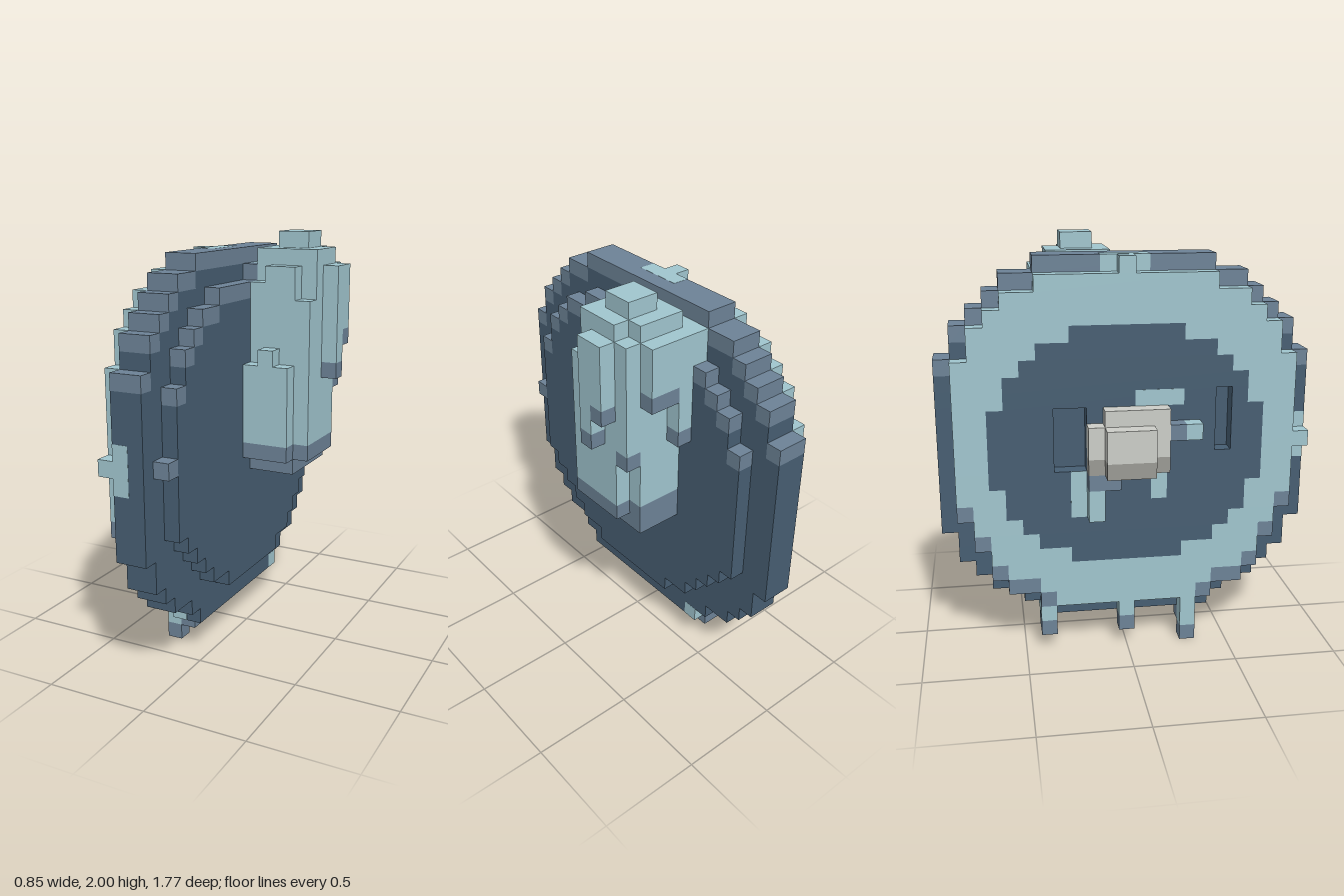
import * as THREE from 'three';

const U = 2 / 26; // edge of one block

const material = (name, color) => {
  const m = new THREE.MeshStandardMaterial({ color });
  m.name = name;
  return m;
};

export function createModel() {
  const model = new THREE.Group();
  const teal = material('pale teal', 0xa1c6cf);
  const slate = material('slate', 0x6d8397);
  const navy = material('dark navy', 0x475e72);
  const stone = material('light stone', 0xcccec8);
  const darkStone = material('dark stone', 0x9a9a94);

  const part = (name) => {
    const g = new THREE.Group();
    g.name = name;
    model.add(g);
    return g;
  };
  // Box in block units: x columns 0-11, y rows 0-26, z from -11.5 to 11.5
  const box = (group, mat, x0, x1, y0, y1, z0, z1) => {
    const mesh = new THREE.Mesh(new THREE.BoxGeometry((x1 - x0) * U, (y1 - y0) * U, (z1 - z0) * U), mat);
    mesh.position.set(((x0 + x1) / 2 - 5.5) * U, ((y0 + y1) / 2) * U, ((z0 + z1) / 2) * U);
    mesh.name = group.name + 'Block';
    group.add(mesh);
  };
  // Stepped disc from half widths per row; exposed upper steps are slate
  const disc = (group, x0, x1, firstRow, halves) => {
    halves.forEach((h, n) => {
      const y = firstRow + n;
      const core = Math.min(h, halves[n + 1] ?? 0);
      if (core === 0) {
        box(group, slate, x0, x1, y, y + 1, -h, h);
        return;
      }
      box(group, navy, x0, x1, y, y + 1, -core, core);
      if (h > core) {
        box(group, slate, x0, x1, y, y + 1, -h, -core);
        box(group, slate, x0, x1, y, y + 1, core, h);
      }
    });
  };

  // Wide body disc and the smaller raised disc on its +x face
  const wide = [5.5, 6.5, 8.5, 9.5, 10.5, 10.5, 11.5, 11.5, 11.5, 11.5, 11.5, 11.5, 11.5,
    11.5, 11.5, 11.5, 11.5, 10.5, 10.5, 9.5, 8.5, 7.5, 5.5];
  disc(part('bodyDisc'), 3, 5, 2, wide);
  const raised = part('raisedDisc');
  disc(raised, 5, 6, 4, [3.5, 5.5, 6.5, 7.5, 8.5, 9.5, 9.5, 9.5, 9.5, 9.5, 9.5, 9.5, 9.5, 9.5,
    8.5, 8.5, 7.5, 6.5, 4.5]);
  box(raised, slate, 5, 6, 13, 14, 9.5, 10.5);
  box(raised, teal, 5, 6, 22, 24, -5.5, -1.5);
  box(raised, slate, 5, 6, 23, 24, -1.5, -0.5);

  // Pale ring on the -x face around a flush dark plate with two slots
  const ring = part('ring');
  const plate = part('innerPlate');
  const outer = [5.5, 7.5, 8.5, 8.5, 9.5, 9.5, 10.5, 10.5, 10.5, 10.5, 10.5,
    10.5, 10.5, 10.5, 10.5, 10.5, 9.5, 9.5, 8.5, 7.5, 5.5];
  const hole = [0, 0, 0, 3.5, 5.5, 6.5, 7.5, 7.5, 8.5, 8.5, 8.5,
    8.5, 8.5, 7.5, 7.5, 6.5, 5.5, 3.5, 0, 0, 0];
  const slots = [{ y0: 12, y1: 16, z0: -4.5, z1: -2.5 }, { y0: 13, y1: 17, z0: 5.5, z1: 6.5 }];
  outer.forEach((h, n) => {
    const y = n + 3;
    const edge = Math.min(h, outer[n - 1] ?? 4.5);
    if (hole[n] === 0) box(ring, teal, 2, 3, y, y + 1, -edge, edge);
    else {
      box(ring, teal, 2, 3, y, y + 1, -edge, -hole[n]);
      box(ring, teal, 2, 3, y, y + 1, hole[n], edge);
      let z = -hole[n];
      for (const s of slots) {
        if (y < s.y0 || y >= s.y1) continue;
        box(plate, navy, 2, 3, y, y + 1, z, s.z0);
        z = s.z1;
      }
      box(plate, navy, 2, 3, y, y + 1, z, hole[n]);
    }
    if (h > edge) {
      box(ring, slate, 2, 3, y, y + 1, edge, h);
      box(ring, slate, 2, 3, y, y + 1, -h, -edge);
    }
  });
  // Marks at the top and +z end of the ring
  const marks = part('ringMarks');
  box(marks, teal, 2, 3, 24, 25, -0.5, 0.5);
  box(marks, teal, 2.99, 4, 24, 25.01, -1.5, 1.5);
  box(marks, teal, 2, 3, 13, 14, 10.5, 11.5);
  box(marks, teal, 2.99, 4, 12, 15, 10.5, 11.51);

  // Three stubs below the ring
  const feet = part('feet');
  box(feet, teal, 2, 3, 1, 3, 3.5, 4.5);
  box(feet, slate, 2, 3, 0, 1, 3.5, 4.5);
  box(feet, slate, 3, 4, 1, 2, 3.5, 4.5);
  box(feet, teal, 3, 4, 2, 3, 3.5, 5.51);
  box(feet, slate, 2, 3, 1, 2, -0.5, 0.5);
  box(feet, teal, 2, 3, 2, 3, -0.5, 0.5);
  box(feet, teal, 2, 5.01, 1.99, 3, -5.51, -4.5);
  box(feet, slate, 2, 4, 1, 2, -5.5, -4.5);

  // Hub and small hands on the inner plate
  const hub = part('hub');
  box(hub, stone, 0, 1, 13, 15, -1.5, 1.5);
  box(hub, darkStone, 0, 1, 12, 13, -1.5, 1.5);
  box(hub, stone, 1, 2, 13, 15, -2.5, 2.5);
  box(hub, darkStone, 1, 2, 12, 13, -2.5, 2.5);
  box(hub, stone, 1, 2, 15, 16, -1.5, 2.5);
  const hands = part('hands');
  box(hands, slate, 1, 2, 14, 15, 2.5, 3.5);
  box(hands, teal, 1, 2, 14, 15, 3.5, 4.5);
  box(hands, teal, 1, 2, 9, 11, -2.5, -1.5);
  box(hands, slate, 1, 2, 11, 12, -2.5, -0.5);
  box(hands, teal, 1.98, 2, 9, 12, -3.5, -1.5);
  box(hands, teal, 1.98, 2, 16, 17, 0.5, 3.5);
  box(hands, teal, 1.98, 2, 10, 12, 1.5, 2.5);

  // Tall column on the +x face, with stepped front and slate lower end
  const column = part('column');
  box(column, teal, 6, 9, 13, 25, -4.5, -0.5);
  box(column, teal, 9, 10, 13, 25, -3.5, -0.5);
  box(column, teal, 6, 7, 13, 23, -0.5, 0.5);
  box(column, teal, 7, 9, 13, 24, -0.5, 0.5);
  box(column, teal, 9, 10, 13, 22, -0.5, 0.5);
  box(column, slate, 6, 10, 12, 13, -3.5, 0.5);
  box(column, slate, 6, 9, 12, 13, -4.5, -3.5);
  box(column, slate, 6, 9, 11, 12, -4.5, 0.5);
  box(column, teal, 7, 9, 25, 26, -3.5, -1.5);
  // Lobes hanging on the column, each with a slate tip: x0, x1, tip row, top, z0
  const lobes = part('columnLobes');
  for (const [x0, x1, tip, top, z0] of [
    [6, 9, 12, 18, 0.5], [9, 10, 16, 24, -4.5], [10, 11, 17, 24, -2.5], [10, 11, 19, 24, -3.5],
    [6, 7, 17, 24, -5.5], [7, 9, 20, 24, -5.5],
  ]) {
    box(lobes, slate, x0, x1, tip, tip + 1, z0, z0 + 1);
    box(lobes, teal, x0, x1, tip + 1, top, z0, z0 + 1);
  }
  box(lobes, teal, 7, 8, 18, 19, 0.5, 1.5);

  return model;
}
